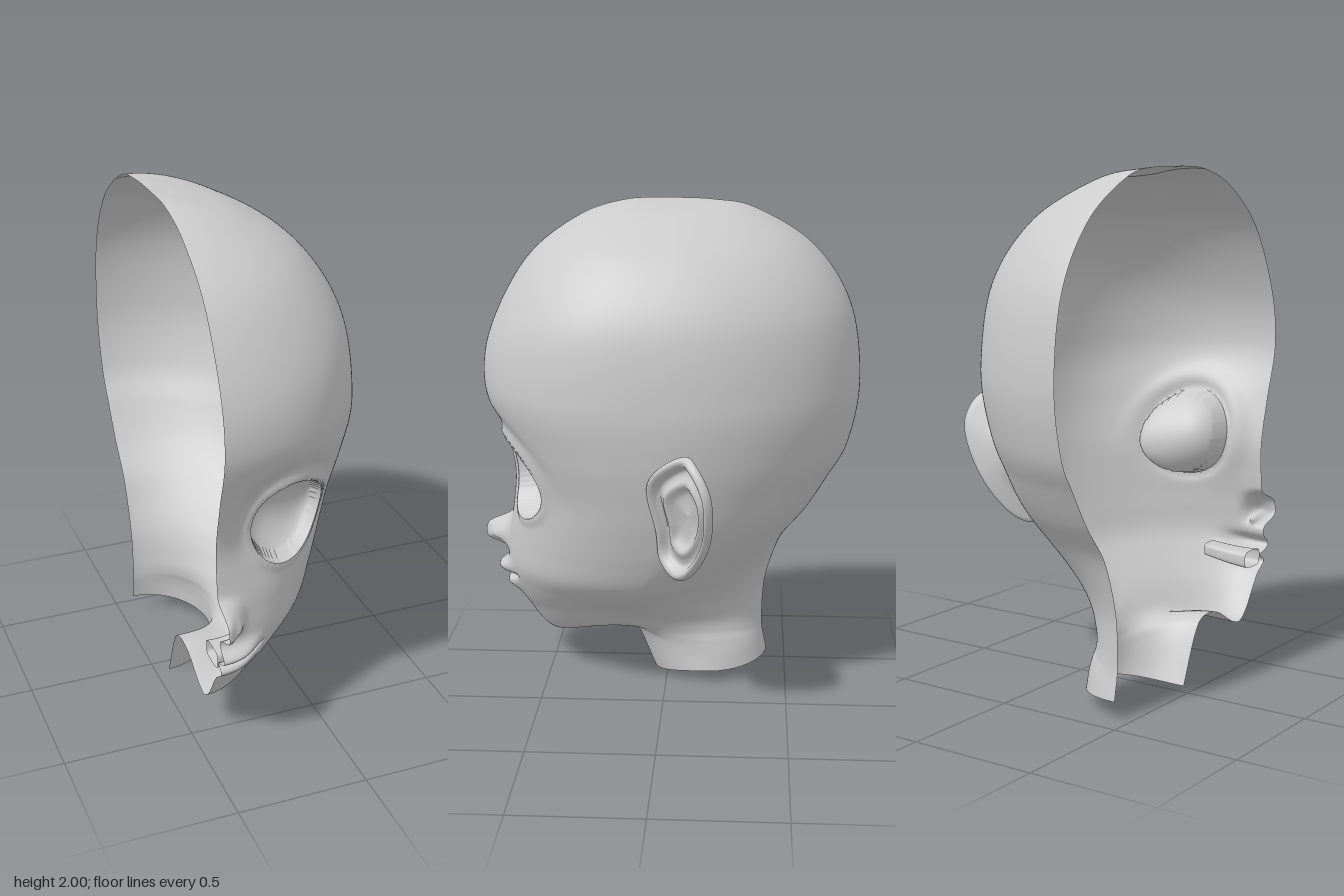
import * as THREE from 'three';

const CUT = -0.445; // x of the open mid-line cut
const V = (x, y, z) => new THREE.Vector3(x, y, z);
const gauss = (a, b = 0) => Math.exp(-a * a - b * b);
const spow = (v, e) => Math.sign(v) * Math.abs(v) ** e;
const smooth = THREE.MathUtils.smoothstep;

// Smooth surface from point(u, v), u and v in 0..1
function surface(name, rows, cols, point) {
  const pos = [], index = [];
  for (let i = 0; i <= rows; i++)
    for (let j = 0; j <= cols; j++) pos.push(...point(i / rows, j / cols).toArray());
  for (let i = 0; i < rows; i++)
    for (let j = 0; j < cols; j++) {
      const a = i * (cols + 1) + j, b = a + cols + 1;
      index.push(a, b, a + 1, b, b + 1, a + 1);
    }
  const geo = new THREE.BufferGeometry();
  geo.setAttribute('position', new THREE.Float32BufferAttribute(pos, 3));
  geo.setIndex(index);
  geo.computeVertexNormals();
  const mesh = new THREE.Mesh(geo, new THREE.MeshStandardMaterial({ color: 0xcccccc, side: THREE.DoubleSide }));
  mesh.name = name;
  return mesh;
}

// Head rings, crown to neck: front z, y | side x, y | back z, y
const RINGS = [
  [0, 2, CUT, 2, 0, 2],
  [0.18, 1.99, -0.3, 1.98, -0.18, 1.993],
  [0.37, 1.925, -0.135, 1.93, -0.35, 1.96],
  [0.575, 1.765, 0.065, 1.8, -0.585, 1.815],
  [0.72, 1.5, 0.205, 1.58, -0.74, 1.58],
  [0.755, 1.28, 0.247, 1.28, -0.785, 1.27],
  [0.7, 1.07, 0.23, 1.05, -0.745, 1.02],
  [0.655, 0.88, 0.19, 0.86, -0.67, 0.88],
  [0.655, 0.75, 0.16, 0.75, -0.59, 0.75],
  [0.67, 0.62, 0.115, 0.62, -0.49, 0.62],
  [0.68, 0.5, 0.055, 0.5, -0.44, 0.5],
  [0.66, 0.4, -0.025, 0.42, -0.412, 0.4],
  [0.61, 0.3, -0.095, 0.36, -0.403, 0.33],
  [0.49, 0.165, -0.17, 0.29, -0.4, 0.25],
  [0.31, 0.245, -0.205, 0.23, -0.4, 0.2],
  [0.2, 0.25, -0.21, 0.18, -0.402, 0.17],
  [0.14, 0.19, -0.207, 0.12, -0.407, 0.14],
  [0.06, 0.005, -0.2, 0.055, -0.42, 0.075],
];
const rail = f => new THREE.CatmullRomCurve3(RINGS.map(f), false, 'catmullrom', 0.5);
const frontRail = rail(r => V(CUT, r[1], r[0]));
// the widest point is forward at the jaw and moves back in the neck
const sideRail = rail(r => V(r[2], r[3],
  0.03 + 0.08 * gauss((r[3] - 0.42) / 0.14) - 0.2 * (1 - smooth(r[3], 0.12, 0.36))));
const backRail = rail(r => V(CUT, r[5], r[4]));

// Eye socket, nose and lips as offsets along z
function sculptFace(p) {
  const dx = p.x - CUT, y = p.y;
  // vertices close to the socket outline snap onto it
  const ex = (p.x + 0.14) / 0.16, ey = (y - 0.91) / 0.175;
  let d = Math.hypot(ex, ey);
  if (Math.abs(d - 1) < 0.06) {
    const x = -0.14 + (ex / d) * 0.16;
    p.z -= (dx / p.z) * (x - p.x);
    p.x = x;
    p.y = 0.91 + (ey / d) * 0.175;
    d = 1;
  }
  // recess beside the nose bridge, rounded cup, soft lid and brow fold
  p.z -= 0.045 * gauss((p.x + 0.26) / 0.12, (p.y - 0.95) / 0.17);
  if (d < 1) p.z -= 0.015 + 0.12 * Math.sqrt(1 - d * d);
  else p.z += 0.01 * gauss((d - 1.04) / 0.1) - 0.012 * gauss((d - 1.35) / 0.2) * (0.5 + 0.5 * ey / d);
  // nose, wing and nostril
  p.z += 0.108 * gauss(dx / 0.058, ((y - 0.588) / (y > 0.588 ? 0.066 : 0.052)) ** 2);
  p.z += 0.035 * gauss((dx - 0.062) / 0.028, (y - 0.585) / 0.035);
  p.z -= 0.05 * gauss((dx - 0.054) / 0.014, (y - 0.55) / 0.014);
  // lips follow a slight smile
  const ly = y - 0.9 * dx * dx, w = gauss((dx / 0.15) ** 2);
  p.z += w * (0.052 * gauss((ly - 0.445) / 0.03) + 0.036 * gauss((ly - 0.375) / 0.028));
  p.z -= 0.03 * gauss((dx / 0.18) ** 4, (ly - 0.41) / 0.01);
  return p;
}

function head(u, v) {
  const F = frontRail.getPoint(u), S = sideRail.getPoint(u), B = backRail.getPoint(u);
  const a = Math.PI * v ** 1.25, c = Math.cos(a), s = Math.max(0, Math.sin(a));
  // fuller sections at the forehead, slimmer ones behind the jaw
  const full = smooth(S.y, 0.8, 1.3);
  const E = c > 0 ? F : B;
  const e = c > 0 ? 0.96 - 0.12 * full : 1 - 0.05 * full + 0.3 * gauss((S.y - 0.45) / 0.17);
  const p = V(
    CUT + (S.x - CUT) * s ** e,
    S.y + (E.y - S.y) * c * c,
    S.z + (E.z - S.z) * Math.abs(c) ** e);
  return c > 0.2 && p.z > 0.25 ? sculptFace(p) : p;
}

// Flattened pocket behind the lips, open at the cut
function mouthPocket(u, v) {
  const a = v * Math.PI * 2, dx = 0.18 * Math.min(1, u / 0.85);
  const size = u > 0.9 ? 0 : 1 - 0.3 * u;
  return V(CUT + dx,
    0.408 + 0.9 * dx * dx + 0.035 * size * spow(Math.sin(a), 0.5),
    0.59 - 1.2 * dx * dx + 0.06 * size * spow(Math.cos(a), 0.5));
}

// Ear rim, counter-clockwise from the front
const earRim = new THREE.CatmullRomCurve3([
  V(0.22, 1.0, 0.045), V(0.16, 0.78, 0.015), V(0.14, 0.65, 0),
  V(0.19, 0.6, -0.05), V(0.25, 0.62, -0.1), V(0.36, 0.78, -0.18),
  V(0.44, 1.0, -0.185), V(0.4, 1.11, -0.13), V(0.31, 1.12, -0.085),
], true, 'centripetal');
const earCentre = V(0.29, 0.87, -0.08);
// Ear profile: share of the way to the centre, forward offset, offset towards the head
const earProfile = new THREE.CatmullRomCurve3([
  V(1, -0.045, 0), V(0.8, -0.045, 0), V(0.6, -0.038, 0), V(0.45, -0.012, 0),
  V(0.32, -0.025, 0), V(0.22, -0.025, 0), V(0.14, 0.005, 0), V(0.06, 0.012, 0),
  V(0, -0.005, 0), V(0.04, -0.025, 0), V(0.25, -0.045, 0), V(0.5, -0.06, 0.02), V(0.7, -0.06, 0.14),
], false, 'catmullrom', 0.5);

function ear(u, v) {
  const k = earProfile.getPoint(u);
  return earRim.getPoint(v).lerp(earCentre, k.x)
    .addScaledVector(V(0.67, 0, 0.74), k.y)
    .addScaledVector(V(-1, 0, -0.15), k.z);
}

export function createModel() {
  const model = new THREE.Group();
  model.name = 'halfHead';
  model.add(
    surface('headShell', 238, 200, head),
    surface('mouthPocket', 20, 32, mouthPocket),
    surface('ear', 60, 72, ear),
  );
  return model;
}
